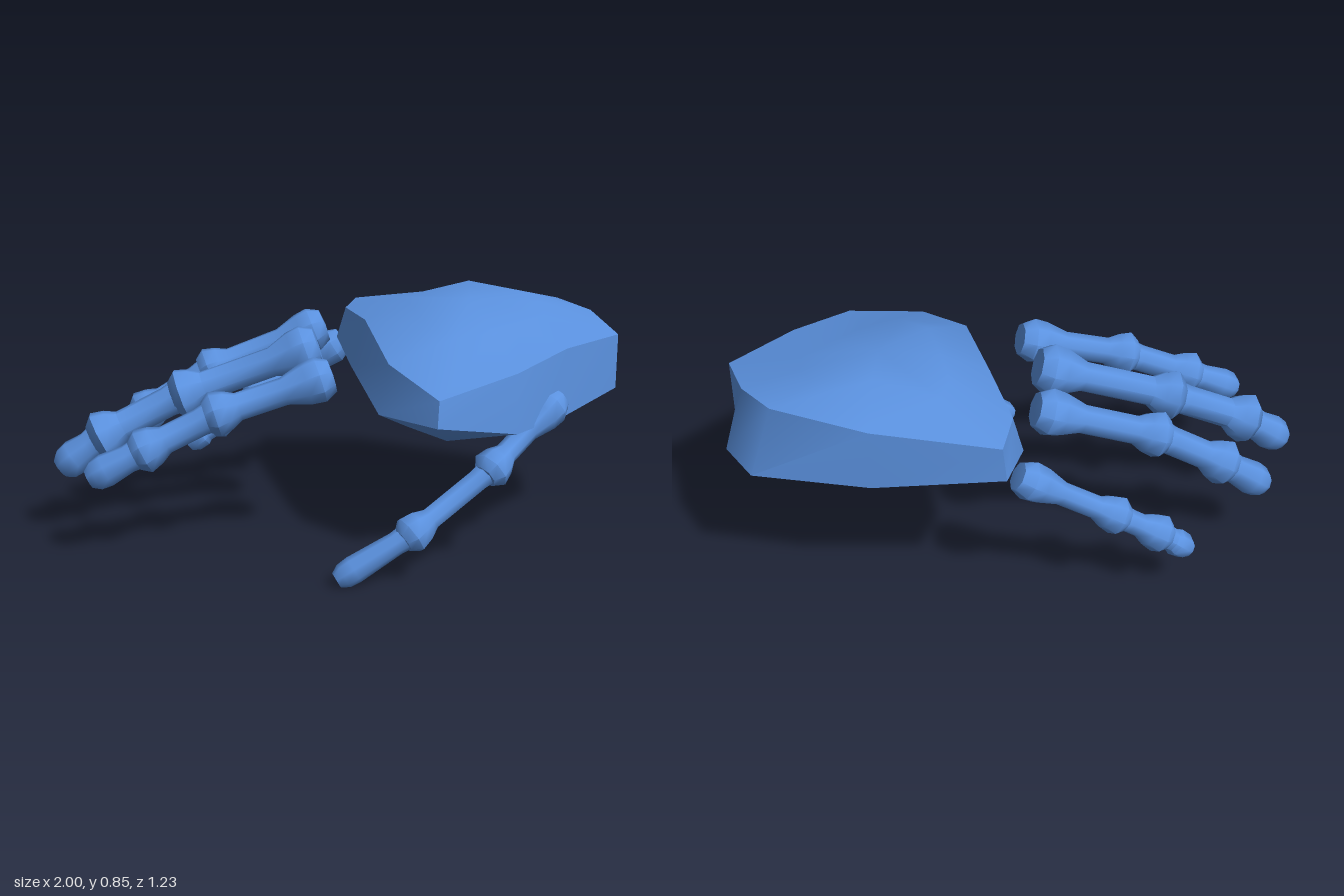
import * as THREE from 'three';
import { toCreasedNormals } from 'three/addons/utils/BufferGeometryUtils.js';

const material = new THREE.MeshStandardMaterial({ color: 0x5b92e0 });

// Palm rim: x, z, upper edge inset, then heights: upper ring, upper edge, lower edge, lower ring
const RIM = [
  [-0.03, -0.59, 0.97, 0.80, 0.74, 0.62, 0.57],
  [0.42, -0.615, 0.98, 0.86, 0.79, 0.57, 0.57],
  [0.84, -0.57, 0.82, 0.83, 0.785, 0.55, 0.55],
  [0.97, -0.41, 0.86, 0.81, 0.77, 0.53, 0.49],
  [1.0, -0.18, 1.0, 0.79, 0.73, 0.53, 0.43],
  [0.83, 0.06, 0.98, 0.78, 0.73, 0.49, 0.43],
  [0.67, 0.28, 0.97, 0.77, 0.69, 0.48, 0.43],
  [0.41, 0.425, 0.96, 0.765, 0.62, 0.53, 0.43],
  [0.19, 0.26, 0.9, 0.79, 0.69, 0.52, 0.44],
  [0.03, -0.15, 0.88, 0.815, 0.755, 0.58, 0.48],
  [-0.065, -0.42, 0.93, 0.81, 0.74, 0.62, 0.53],
];

// Faceted palm lofted from a top pole, four rings and a hollow underside
function makePalm() {
  const cx = 0.46, cz = -0.2, n = RIM.length, bands = 5;
  const pos = [], index = [];
  const addRing = (scaleOf, heightOf) => RIM.forEach((p) => {
    const k = scaleOf(p);
    pos.push(cx + (p[0] - cx) * k, heightOf(p), cz + (p[1] - cz) * k);
  });
  addRing(() => 0, () => 0.84);
  addRing(() => 0.5, (p) => p[3]);
  addRing((p) => p[2], (p) => p[4]);
  addRing(() => 1, (p) => p[5]);
  addRing(() => 0.7, (p) => p[6]);
  addRing(() => 0, () => 0.54);
  for (let i = 0; i < bands; i++) {
    for (let j = 0; j < n; j++) {
      const a = i * n + j, b = i * n + (j + 1) % n, c = b + n, d = a + n;
      if (i > 0) index.push(a, b, c);
      if (i < bands - 1) index.push(a, c, d);
      else index.splice(-3, 3, a, b, d);
    }
  }
  const g = new THREE.BufferGeometry();
  g.setAttribute('position', new THREE.Float32BufferAttribute(pos, 3));
  g.setIndex(index);
  return toCreasedNormals(g, 0.75);
}

// One finger bone, turned around the line from a to b
function makeBone(name, a, b, R, s, isBase, isTip) {
  const L = a.distanceTo(b);
  const start = isBase
    ? [[0, -0.07], [R * 0.72, -0.065], [R, -0.02], [R * 0.92, 0.03], [s, 0.11]]
    : [[0, 0], [s * 1.15, 0.01], [s, 0.07]];
  const end = isTip
    ? [[s * 1.2, L - 0.06], [s * 1.1, L - 0.02], [s * 0.7, L + 0.008], [0, L + 0.008]]
    : [[s, L - 0.075], [R * 0.85, L - 0.035], [R, L + 0.012], [s * 1.12, L + 0.045], [0, L + 0.045]];
  const profile = [...start, ...end].map(([r, y]) => new THREE.Vector2(r, y));
  const mesh = new THREE.Mesh(toCreasedNormals(new THREE.LatheGeometry(profile, 8), 0.9), material);
  mesh.name = name;
  mesh.position.copy(a);
  mesh.quaternion.setFromUnitVectors(new THREE.Vector3(0, 1, 0), b.clone().sub(a).normalize());
  return mesh;
}

// Joint radius, shaft radius, and the path through knuckle, two joints and tip
const FINGERS = {
  thumb: { R: 0.07, s: 0.04, path: [[0.76, 0.52, 0.11], [0.59, 0.365, 0.31], [0.34, 0.18, 0.485], [0.1, 0.035, 0.58]] },
  indexFinger: { R: 0.082, s: 0.05, path: [[-0.04, 0.625, 0.24], [-0.36, 0.525, 0.345], [-0.6, 0.405, 0.42], [-0.785, 0.31, 0.475]] },
  middleFinger: { R: 0.095, s: 0.056, path: [[-0.13, 0.665, 0.0], [-0.54, 0.52, 0.1], [-0.82, 0.375, 0.19], [-0.97, 0.26, 0.235]] },
  ringFinger: { R: 0.085, s: 0.052, path: [[-0.15, 0.675, -0.27], [-0.5, 0.54, -0.17], [-0.74, 0.385, -0.1], [-0.9, 0.255, -0.045]] },
  littleFinger: { R: 0.07, s: 0.042, path: [[-0.11, 0.55, -0.5], [-0.38, 0.375, -0.425], [-0.53, 0.27, -0.38], [-0.64, 0.18, -0.345]] },
};

export function createModel() {
  const hand = new THREE.Group();
  hand.name = 'hand';

  const palm = new THREE.Mesh(makePalm(), material);
  palm.name = 'palm';
  hand.add(palm);

  const boneNames = ['lowerBone', 'middleBone', 'fingertip'];
  for (const [name, { R, s, path }] of Object.entries(FINGERS)) {
    const finger = new THREE.Group();
    finger.name = name;
    const p = path.map((q) => new THREE.Vector3(...q));
    boneNames.forEach((bone, i) => {
      finger.add(makeBone(bone, p[i], p[i + 1], R, s, i === 0, i === 2));
    });
    hand.add(finger);
  }
  return hand;
}
